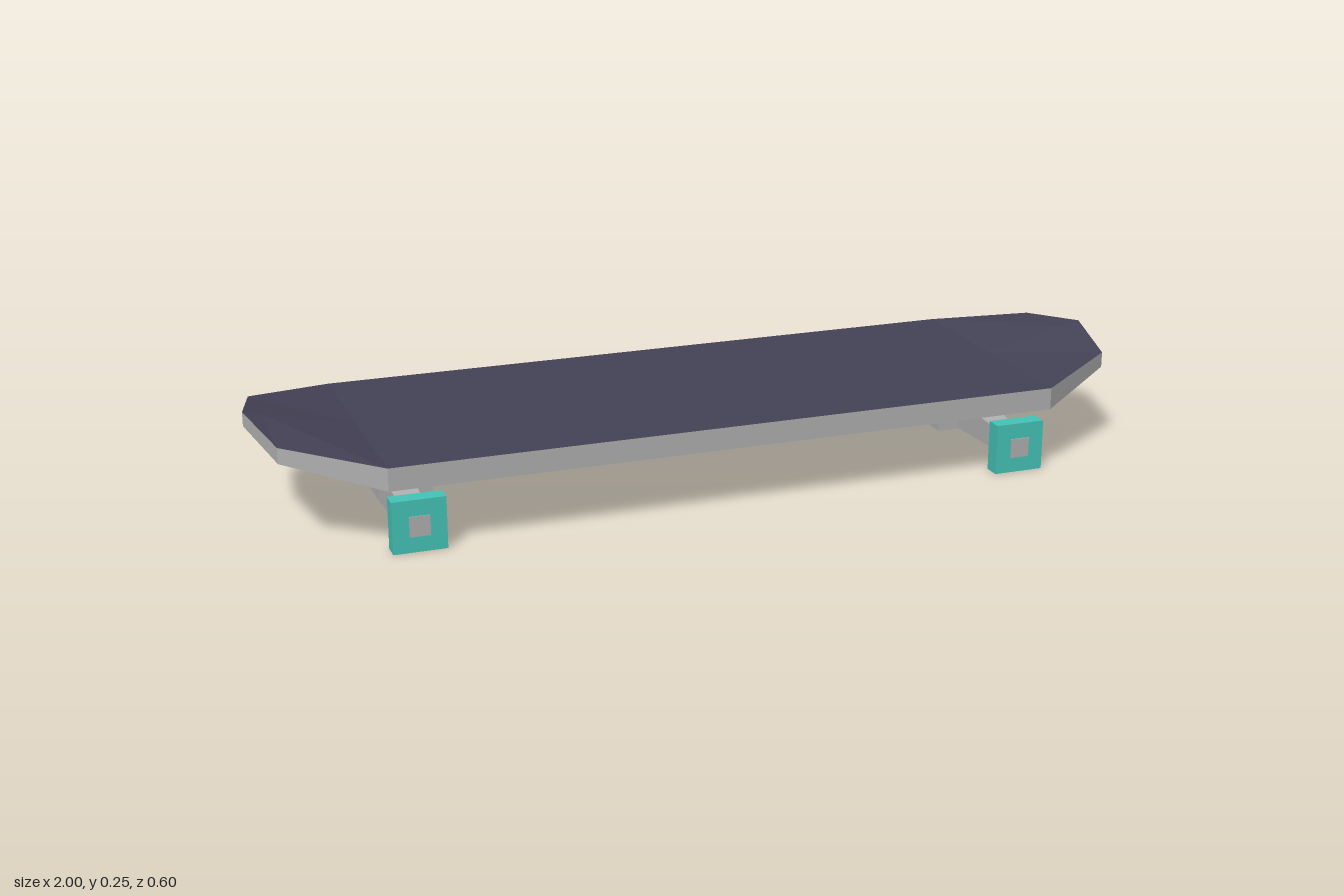
import * as THREE from 'three';

const mat = (name, color, side = THREE.FrontSide) => {
  const m = new THREE.MeshStandardMaterial({ color, side });
  m.name = name;
  return m;
};

// Flat-shaded mesh from quads of [x, y, z] corners, counter-clockwise from outside
function quadMesh(name, quads, material) {
  const pos = [];
  for (const [a, b, c, d] of quads) pos.push(...a, ...b, ...c, ...a, ...c, ...d);
  const geo = new THREE.BufferGeometry();
  geo.setAttribute('position', new THREE.Float32BufferAttribute(pos, 3));
  geo.computeVertexNormals();
  const mesh = new THREE.Mesh(geo, material);
  mesh.name = name;
  return mesh;
}

// Closed loft through four-cornered rings
function loft(name, rings, material) {
  const quads = [[...rings[0]].reverse(), rings[rings.length - 1]];
  for (let i = 0; i + 1 < rings.length; i++)
    for (let k = 0; k < 4; k++) {
      const n = (k + 1) % 4;
      quads.push([rings[i][k], rings[i][n], rings[i + 1][n], rings[i + 1][k]]);
    }
  return quadMesh(name, quads, material);
}

// Upright rectangle at depth z, and level rectangle at height y
const ringZ = (z, hx, y0, y1) => [[-hx, y0, z], [hx, y0, z], [hx, y1, z], [-hx, y1, z]];
const ringY = (y, hx, hz) => [[-hx, y, hz], [hx, y, hz], [hx, y, -hz], [-hx, y, -hz]];

function createDeck(grip, metal) {
  // Half stations: x, half width, edge height, centre height, thickness
  const half = [[0.76, 0.3, 0.196, 0.196, 0.05], [0.96, 0.18, 0.225, 0.241, 0.035], [1, 0, 0.25, 0.25, 0.031]];
  const stations = [...half.map(([x, ...r]) => [-x, ...r]).reverse(), ...half];
  const rows = stations.map(([x, w, ye, ym, t]) => ({
    top: [[x, ye, -w], [x, ym, 0], [x, ye, w]],
    low: [[x, ye - t, -w], [x, ym - t, 0], [x, ye - t, w]],
  }));
  const top = [], low = [], rim = [];
  for (let i = 0; i + 1 < rows.length; i++) {
    const a = rows[i], b = rows[i + 1];
    for (let k = 0; k < 2; k++) {
      top.push([a.top[k], a.top[k + 1], b.top[k + 1], b.top[k]]);
      low.push([a.low[k], b.low[k], b.low[k + 1], a.low[k + 1]]);
    }
    rim.push([a.low[2], b.low[2], b.top[2], a.top[2]]);
    rim.push([b.low[0], a.low[0], a.top[0], b.top[0]]);
  }
  const deck = new THREE.Group();
  deck.name = 'deck';
  deck.add(quadMesh('deckTop', top, grip), quadMesh('deckUnderside', low, grip), quadMesh('deckRim', rim, metal));
  return deck;
}

function createTruck(metal, rubber) {
  const truck = new THREE.Group();
  truck.name = 'truck';
  // Axle hanger, tallest in the middle
  truck.add(loft('axle', [
    ringZ(-0.215, 0.025, 0.033, 0.083), ringZ(-0.05, 0.035, 0.033, 0.101),
    ringZ(0.05, 0.035, 0.033, 0.101), ringZ(0.215, 0.025, 0.033, 0.083),
  ], metal));
  // Flared mount under the deck
  truck.add(loft('mount', [ringY(0.09, 0.033, 0.045), ringY(0.101, 0.035, 0.05), ringY(0.147, 0.045, 0.08)], metal));
  // Pivot block on the inner side
  const pivotRing = z => [[-0.085, 0.031, z], [0, 0.031, z], [0, 0.14, z], [-0.085, 0.102, z]];
  truck.add(loft('pivot', [pivotRing(-0.05), pivotRing(0.05)], metal));
  // Square wheels tapering in to the axle, each with a small hub plate
  for (const s of [0, 1]) {
    const wheel = new THREE.Group();
    wheel.name = s ? 'rearWheel' : 'frontWheel';
    wheel.add(loft('tyre', [
      ringZ(0.212, 0.026, 0.032, 0.084), ringZ(0.246, 0.058, 0, 0.115), ringZ(0.284, 0.058, 0, 0.115),
    ], rubber));
    const hub = new THREE.Mesh(new THREE.BoxGeometry(0.045, 0.045, 0.004), metal);
    hub.name = 'hub';
    hub.position.set(0, 0.057, 0.284);
    wheel.add(hub);
    wheel.rotation.y = s * Math.PI;
    truck.add(wheel);
  }
  return truck;
}

export function createModel() {
  const grip = mat('charcoal', 0x444256);
  const metal = mat('grey', 0xb0b0b0);
  const rubber = mat('teal', 0x45c4b8);
  const model = new THREE.Group();
  model.name = 'skateboard';
  model.add(createDeck(grip, metal));
  for (const s of [1, -1]) {
    const truck = createTruck(metal, rubber);
    truck.name = s > 0 ? 'leftTruck' : 'rightTruck';
    truck.position.x = s * 0.695;
    truck.rotation.y = s > 0 ? 0 : Math.PI;
    model.add(truck);
  }
  return model;
}
